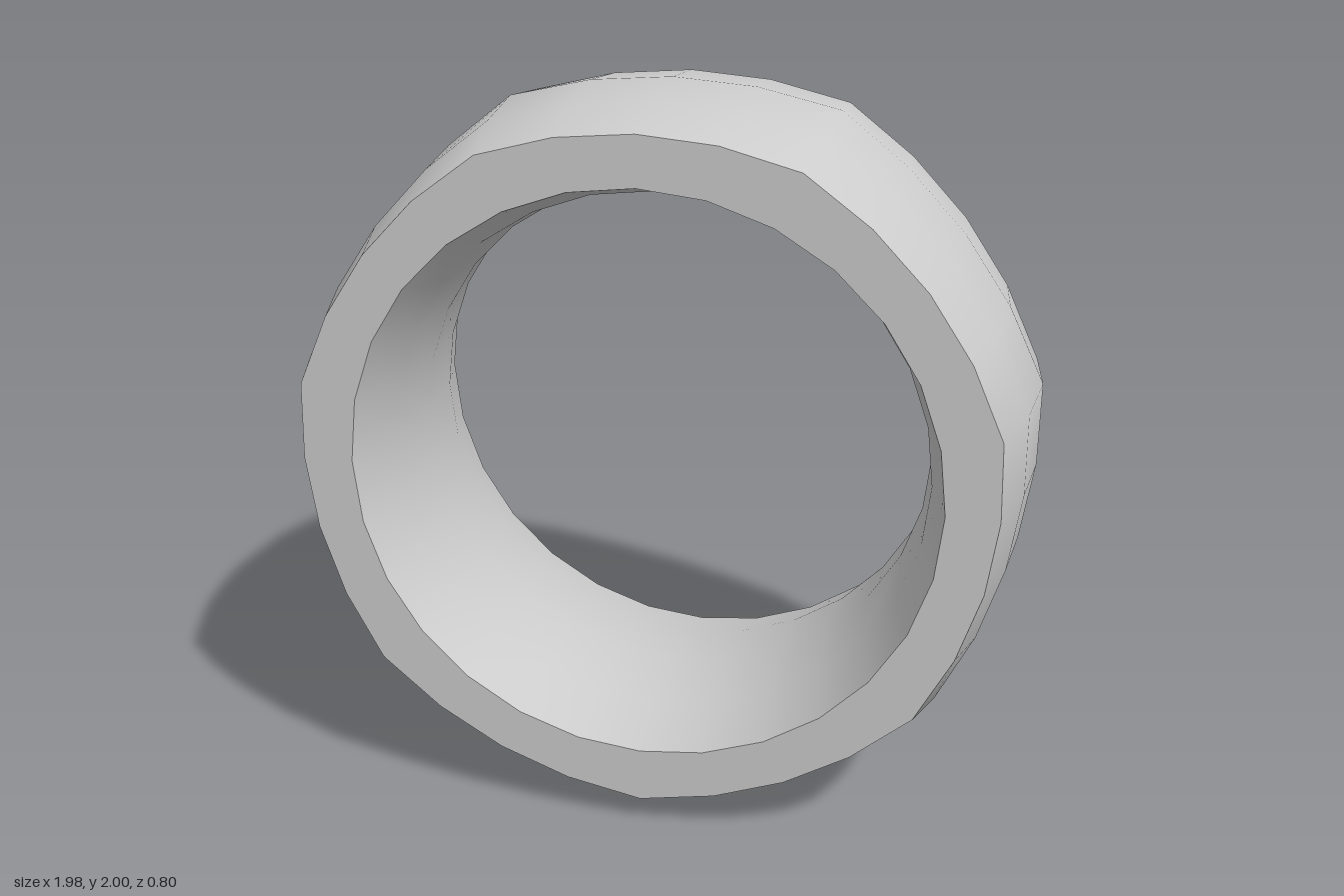
import * as THREE from 'three';

const SIDES = 7;    // bulged sides of the outer outline
const STEPS = 4;    // segments along each side
const COUNT = SIDES * STEPS;
const CENTRE_Y = 1.017;

// Heptagon with bowed sides, one corner at the bottom
function outerLoop(radius, sag, z) {
  const points = [];
  const wedge = (Math.PI * 2) / SIDES;
  for (let s = 0; s < SIDES; s++) {
    const mid = (s + 0.5) * wedge;
    const apothem = radius * Math.cos(wedge / 2);
    const half = radius * Math.sin(wedge / 2);
    for (let i = 0; i < STEPS; i++) {
      const t = (2 * i) / STEPS - 1;
      const out = apothem + sag * (1 - t * t);
      const along = half * t;
      points.push(new THREE.Vector3(
        Math.sin(mid) * out + Math.cos(mid) * along,
        CENTRE_Y - Math.cos(mid) * out + Math.sin(mid) * along,
        z));
    }
  }
  return points;
}

// Round bore
function innerLoop(radius, z) {
  return Array.from({ length: COUNT }, (_, i) => {
    const a = (i / COUNT) * Math.PI * 2;
    return new THREE.Vector3(Math.sin(a) * radius, CENTRE_Y - Math.cos(a) * radius, z);
  });
}

// Skin joining a list of closed loops, smooth within itself
function skin(name, loops, material) {
  const index = [];
  for (let r = 0; r < loops.length - 1; r++) {
    for (let i = 0; i < COUNT; i++) {
      const j = (i + 1) % COUNT;
      const a = r * COUNT + i, b = r * COUNT + j;
      const c = b + COUNT, d = a + COUNT;
      index.push(a, b, c, a, c, d);
    }
  }
  const geometry = new THREE.BufferGeometry().setFromPoints(loops.flat());
  geometry.setIndex(index);
  geometry.computeVertexNormals();
  const mesh = new THREE.Mesh(geometry, material);
  mesh.name = name;
  return mesh;
}

export function createModel() {
  const group = new THREE.Group();
  group.name = 'ring';
  const material = new THREE.MeshStandardMaterial({ color: 0xcccccc });

  // Barrel-shaped cross-sections from back to front
  const outer = [
    [0.939, 0.072, -0.4], [0.992, 0.069, -0.22], [1.017, 0.067, 0],
    [0.992, 0.069, 0.22], [0.939, 0.072, 0.4],
  ].map((p) => outerLoop(...p));
  // Comfort-fit bore, flaring towards both rims, front to back
  const inner = [
    [0.786, 0.4], [0.736, 0.22], [0.716, 0], [0.736, -0.22], [0.786, -0.4],
  ].map((p) => innerLoop(...p));

  group.add(
    skin('outerBand', outer, material),
    skin('frontRim', [outer[4], inner[0]], material),
    skin('innerBand', inner, material),
    skin('backRim', [inner[4], outer[0]], material),
  );
  return group;
}
